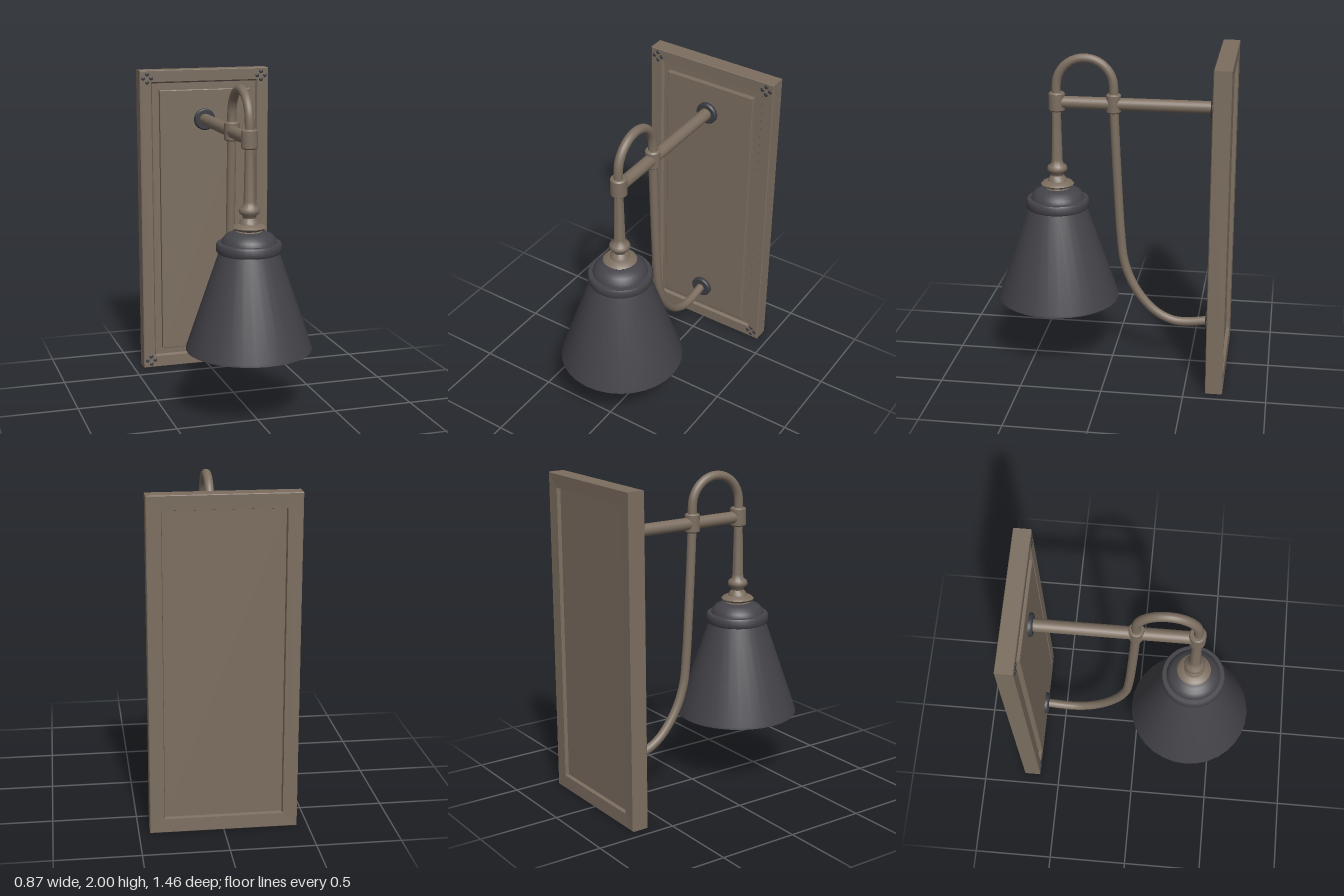
import * as THREE from 'three';
import { toCreasedNormals } from 'three/addons/utils/BufferGeometryUtils.js';

const bronze = new THREE.MeshStandardMaterial({ color: 0x7c6e60 });
bronze.name = 'bronze';
const charcoal = new THREE.MeshStandardMaterial({ color: 0x444349, side: THREE.DoubleSide });
charcoal.name = 'charcoal';
const iron = new THREE.MeshStandardMaterial({ color: 0x3a3c42 });
iron.name = 'dark iron';
const glass = new THREE.MeshStandardMaterial({ color: 0xdcdcdc });
glass.name = 'frosted glass';

const CX = -0.008; // lamp axis
const LZ = 0.347; // shade axis depth

// Closed panel from nested rectangles: [inset, z] pairs running from back to front
function panelGeometry(w, h, steps) {
  const loops = steps.map(([i, z]) => {
    const x = w / 2 - i;
    return [[-x, i, z], [x, i, z], [x, h - i, z], [-x, h - i, z]];
  });
  const pos = [];
  const quad = (a, b, c, d) => pos.push(...a, ...b, ...c, ...a, ...c, ...d);
  for (let k = 0; k < loops.length - 1; k++) {
    for (let s = 0; s < 4; s++) {
      const t = (s + 1) % 4;
      quad(loops[k][s], loops[k][t], loops[k + 1][t], loops[k + 1][s]);
    }
  }
  const back = loops[0], front = loops[loops.length - 1];
  quad(back[3], back[2], back[1], back[0]);
  quad(...front);
  const g = new THREE.BufferGeometry();
  g.setAttribute('position', new THREE.Float32BufferAttribute(pos, 3));
  g.computeVertexNormals();
  return g;
}

function turned(points, segments = 32, crease = 0.6) {
  const g = new THREE.LatheGeometry(points.map(([r, y]) => new THREE.Vector2(r, y)), segments);
  return toCreasedNormals(g, crease);
}

// Tube through [y, z] points in the plane of the lamp axis
function pipe(points, radius, steps) {
  const curve = new THREE.CatmullRomCurve3(points.map(([y, z]) => new THREE.Vector3(CX, y, z)));
  return new THREE.TubeGeometry(curve, steps, radius, 16, false);
}

export function createModel() {
  const model = new THREE.Group();
  const add = (name, geometry, material, x = 0, y = 0, z = 0) => {
    const m = new THREE.Mesh(geometry, material);
    m.name = name;
    m.position.set(x, y, z);
    model.add(m);
    return m;
  };

  // Framed back plate with a raised centre panel and a recessed back
  add('backPlate', panelGeometry(0.87, 2, [
    [0.09, -0.71], [0.085, -0.732], [0.004, -0.735], [0, -0.731], [0, -0.634], [0.004, -0.63],
    [0.075, -0.632], [0.085, -0.65], [0.13, -0.65], [0.13, -0.622], [0.134, -0.62],
  ]), bronze);

  // Four small studs around each corner mitre
  const stud = new THREE.SphereGeometry(0.013, 12, 8);
  stud.scale(1, 1, 0.45);
  for (const sx of [-1, 1]) {
    for (const y of [0.05, 1.95]) {
      for (const [dx, dy] of [[1, 0], [-1, 0], [0, 1], [0, -1]]) {
        add('cornerStud', stud, iron, sx * 0.385 + dx * 0.026, y + dy * 0.026, -0.63);
      }
    }
  }

  // Wall rosettes
  const rosette = turned([[0, 0], [0.07, 0], [0.07, 0.018], [0.062, 0.026], [0, 0.026]]);
  rosette.rotateX(Math.PI / 2);
  add('upperRosette', rosette, iron, CX, 1.675, -0.621);
  add('lowerRosette', rosette, iron, CX, 0.283, -0.621);

  // Horizontal arm
  const arm = new THREE.CylinderGeometry(0.038, 0.038, 0.95, 24);
  arm.rotateX(Math.PI / 2);
  add('arm', arm, bronze, CX, 1.675, -0.135);

  // Collars where the pipes cross the arm
  const collar = (r) => turned([
    [0, -0.058], [r - 0.008, -0.058], [r, -0.05], [r, 0.05], [r - 0.008, 0.058], [0, 0.058],
  ], 24);
  add('frontCollar', collar(0.05), bronze, CX, 1.678, LZ - 0.003);
  add('rearCollar', collar(0.046), bronze, CX, 1.678, -0.005);

  // Gooseneck arch
  const arch = [[1.7, LZ]];
  const mid = (LZ - 0.005) / 2, rad = (LZ + 0.005) / 2;
  for (let i = 0; i <= 10; i++) {
    const a = (i / 10) * Math.PI;
    arch.push([1.774 + rad * Math.sin(a), mid + rad * Math.cos(a)]);
  }
  arch.push([1.7, -0.005]);
  add('gooseneck', pipe(arch, 0.028, 48), bronze);

  // Sweeping support pipe down to the wall
  add('supportPipe', pipe([
    [1.66, -0.006], [1.4, -0.018], [1.1, -0.034], [0.85, -0.05], [0.65, -0.075], [0.48, -0.145],
    [0.34, -0.26], [0.275, -0.38], [0.267, -0.47], [0.285, -0.61],
  ], 0.028, 64), bronze);

  // Turned stem and finial above the shade
  add('stem', turned([
    [0.085, 1.125], [0.07, 1.135], [0.09, 1.142], [0.103, 1.155], [0.09, 1.168], [0.06, 1.176],
    [0.055, 1.19], [0.038, 1.21], [0.042, 1.225], [0.06, 1.24], [0.063, 1.255], [0.056, 1.272],
    [0.038, 1.285], [0.034, 1.31], [0.027, 1.63],
  ], 28, 0.9), bronze, CX, 0, LZ);

  // Open conical shade with a rolled band and domed cap
  add('shade', turned([
    [0.372, 0.412], [0.382, 0.408], [0.38, 0.42], [0.182, 1.0], [0.192, 1.005], [0.197, 1.015],
    [0.197, 1.05], [0.19, 1.062], [0.166, 1.064], [0.16, 1.085], [0.14, 1.108], [0.112, 1.122],
    [0.09, 1.13], [0, 1.13],
  ], 32), charcoal, CX, 0, LZ);

  // Bulb and socket inside the shade
  const bulb = [];
  for (let i = 0; i <= 14; i++) {
    const a = -Math.PI / 2 + (i / 14) * 2.5;
    bulb.push([Math.max(0, 0.17 * Math.cos(a)), 0.62 + 0.17 * Math.sin(a)]);
  }
  bulb.push([0.075, 0.83], [0.06, 0.9]);
  add('bulb', turned(bulb, 32, 1), glass, CX, 0, LZ);
  add('socket', new THREE.CylinderGeometry(0.075, 0.075, 0.25, 24), iron, CX, 1.0, LZ);

  return model;
}
